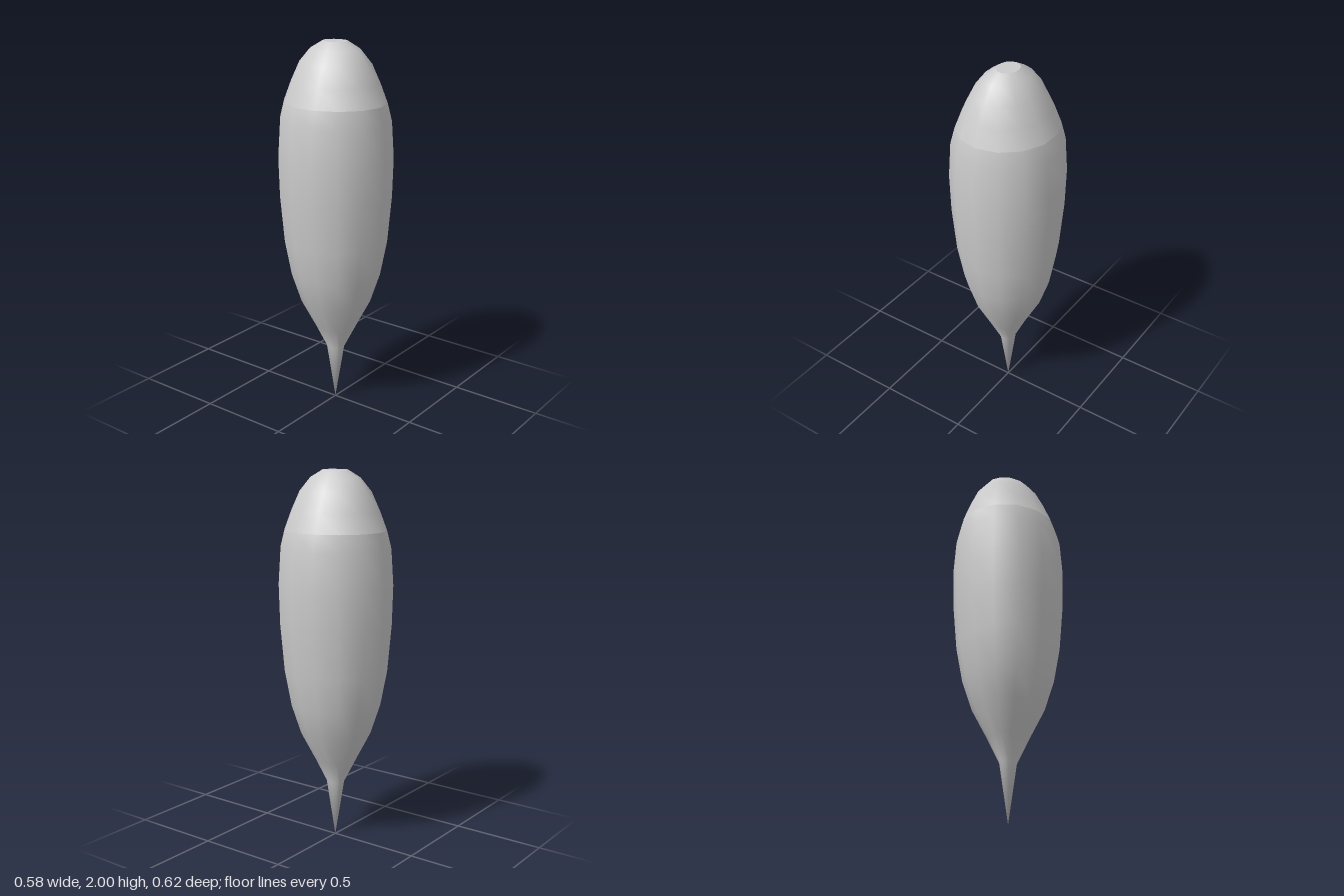
import * as THREE from 'three';
import { mergeVertices } from 'three/addons/utils/BufferGeometryUtils.js';

const SIDES = 14;
const material = new THREE.MeshStandardMaterial({ color: 0xcccccc, side: THREE.DoubleSide });

// Elliptical rings as [height, x radius, z radius], from bottom to top
const bodyRings = [
  [0, 0, 0], [0.315, 0.041, 0.052], [0.44, 0.1, 0.115], [0.6, 0.184, 0.196],
  [0.76, 0.236, 0.248], [0.95, 0.27, 0.284], [1.2, 0.292, 0.305],
  [1.41, 0.298, 0.31], [1.6, 0.284, 0.298], [1.69, 0.258, 0.277],
];
const capRings = [
  [1.69, 0.258, 0.277], [1.79, 0.218, 0.24], [1.89, 0.167, 0.197],
  [1.96, 0.113, 0.138], [2, 0.056, 0.069],
];
const tipRings = [[2, 0.056, 0.069], [2, 0, 0]];

// Lathe the z radii, then squeeze each ring in x
function loft(name, rings) {
  const points = rings.map(([y, , rz]) => new THREE.Vector2(rz, y));
  let geometry = new THREE.LatheGeometry(points, SIDES);
  const pos = geometry.attributes.position;
  for (let i = 0; i < pos.count; i++) {
    const [, rx, rz] = rings[i % rings.length];
    if (rz > 0) pos.setX(i, pos.getX(i) * rx / rz);
  }
  // Weld the seam so the shading runs smoothly all round
  geometry.deleteAttribute('uv');
  geometry.deleteAttribute('normal');
  geometry = mergeVertices(geometry, 1e-4);
  geometry.computeVertexNormals();
  const mesh = new THREE.Mesh(geometry, material);
  mesh.name = name;
  return mesh;
}

export function createModel() {
  const group = new THREE.Group();
  group.name = 'taperedPod';
  group.add(
    loft('body', bodyRings),
    loft('domedCap', capRings),
    loft('flatTip', tipRings),
  );
  return group;
}
